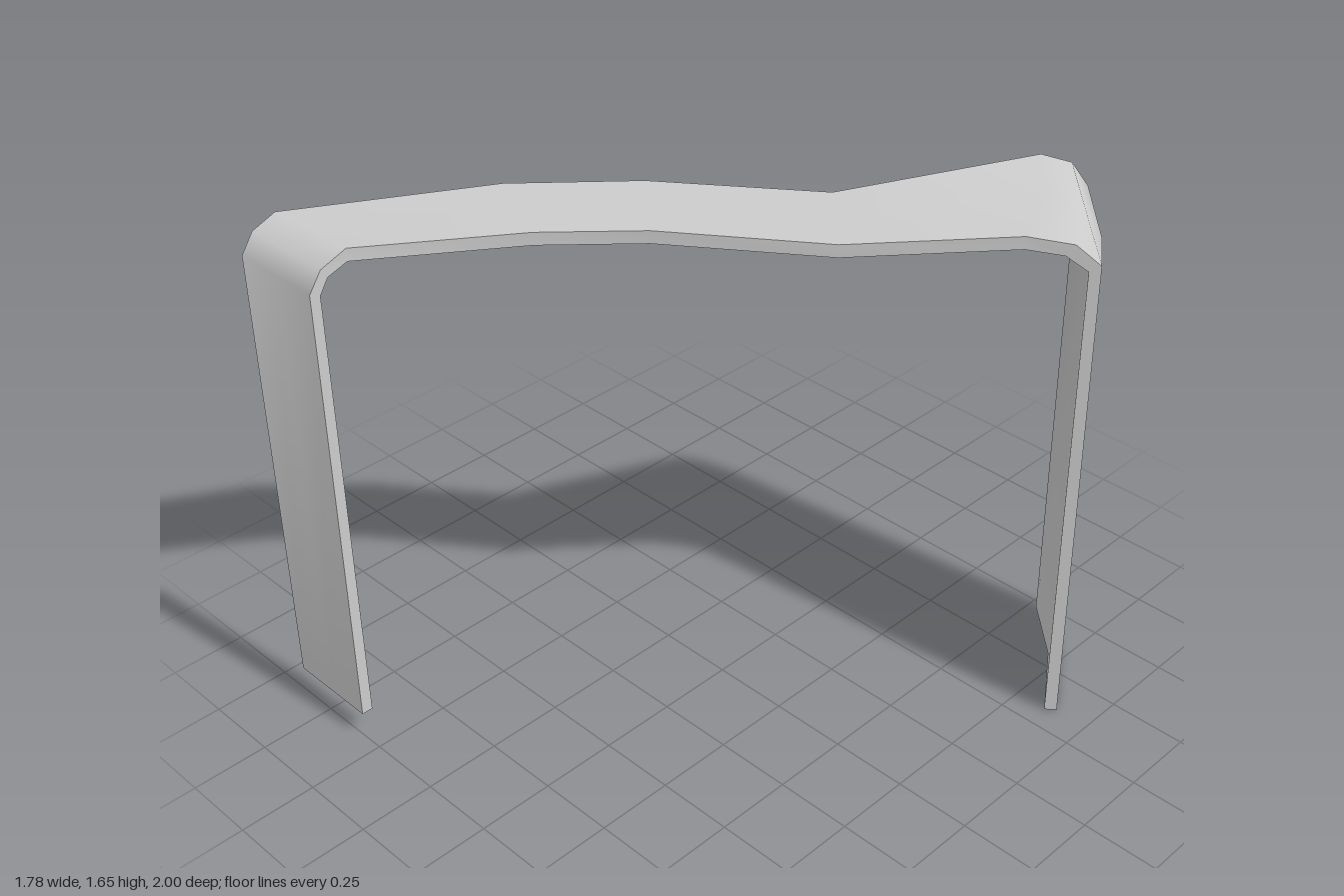
import * as THREE from 'three';
import { toCreasedNormals } from 'three/addons/utils/BufferGeometryUtils.js';

// Each section: outer left edge, outer right edge, offset to the inner face, bulge of the middle
const flat = [0, 0, 0];
const down = [0, -0.04, 0];
const sections = [
  // front leg and its bend
  [[-0.88, 0.09, 1.0], [-0.57, 0.09, 1.0], [0, 0, -0.037], flat],
  [[-0.89, 1.56, 0.983], [-0.575, 1.56, 0.983], [0, -0.015, -0.033], flat],
  [[-0.89, 1.62, 0.94], [-0.575, 1.62, 0.94], [0, -0.03, -0.02], flat],
  [[-0.89, 1.65, 0.86], [-0.578, 1.65, 0.85], down, flat],
  // winding top
  [[-0.575, 1.65, 0.305], [-0.29, 1.65, 0.44], down, flat],
  [[-0.30, 1.65, 0.01], [-0.07, 1.65, 0.21], down, flat],
  [[0.13, 1.65, -0.31], [0.35, 1.65, -0.09], down, flat],
  [[0.40, 1.65, -0.92], [0.68, 1.65, -0.48], down, [0.02, 0, -0.02]],
  // back bend and slightly bowed, splayed back leg
  [[0.48, 1.635, -0.965], [0.79, 1.635, -0.56], [-0.02, -0.036, 0.015], [0.015, -0.015, -0.03]],
  [[0.53, 1.57, -0.985], [0.855, 1.58, -0.597], [-0.027, -0.02, 0.02], [0.01, -0.05, -0.03]],
  [[0.555, 0, -1.0], [0.887, 0, -0.602], [-0.03, 0, 0.025], [0.01, 0, -0.03]],
];

// Ring of six corners: outer left, middle, right, then inner right, middle, left
function ring([left, right, offset, bulge]) {
  const l = new THREE.Vector3(...left);
  const r = new THREE.Vector3(...right);
  const m = l.clone().lerp(r, 0.5).add(new THREE.Vector3(...bulge));
  const inward = new THREE.Vector3(...offset);
  return [l, m, r, ...[r, m, l].map(p => p.clone().add(inward))];
}

function bandGeometry() {
  const rings = sections.map(ring);
  const positions = [];
  const quad = (a, b, c, d) => {
    for (const p of [a, b, c, a, c, d]) positions.push(p.x, p.y, p.z);
  };
  for (let i = 0; i < rings.length - 1; i++) {
    for (let j = 0; j < 6; j++) {
      const k = (j + 1) % 6;
      quad(rings[i][j], rings[i][k], rings[i + 1][k], rings[i + 1][j]);
    }
  }
  // Foot ends
  const s = rings[0];
  const e = rings[rings.length - 1];
  quad(s[5], s[4], s[1], s[0]);
  quad(s[4], s[3], s[2], s[1]);
  quad(e[0], e[1], e[4], e[5]);
  quad(e[1], e[2], e[3], e[4]);

  const geometry = new THREE.BufferGeometry();
  geometry.setAttribute('position', new THREE.Float32BufferAttribute(positions, 3));
  geometry.computeVertexNormals();
  return toCreasedNormals(geometry, THREE.MathUtils.degToRad(50));
}

export function createModel() {
  const model = new THREE.Group();
  model.name = 'bentBandTable';
  const band = new THREE.Mesh(bandGeometry(), new THREE.MeshStandardMaterial({ color: 0xcccccc }));
  band.name = 'bentBand';
  model.add(band);
  return model;
}
